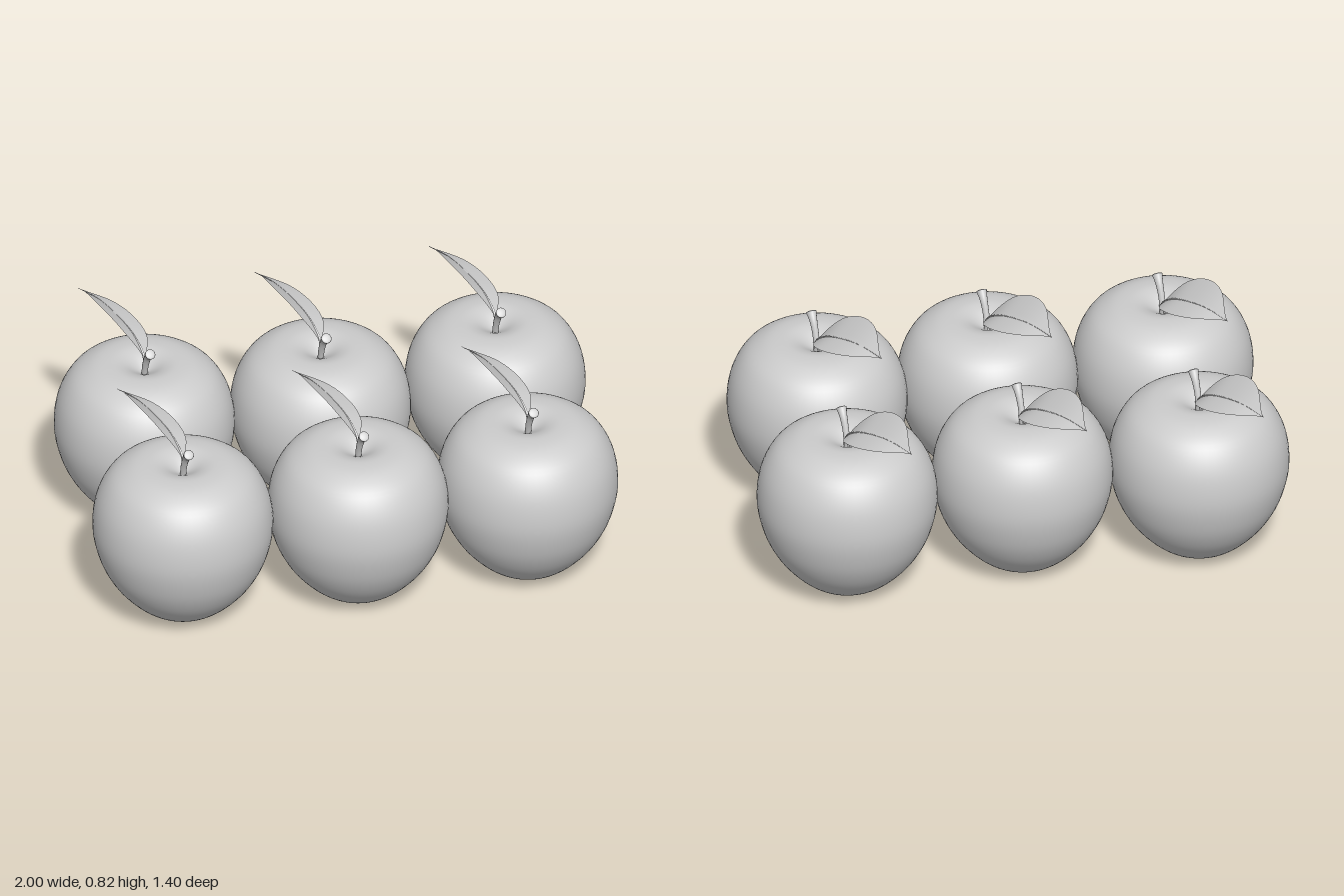
import * as THREE from 'three';

const V = (x, y, z) => new THREE.Vector3(x, y, z);
const material = new THREE.MeshStandardMaterial({ color: 0xcccccc });
const leafMaterial = new THREE.MeshStandardMaterial({ color: 0xcccccc, side: THREE.DoubleSide });

// Apple flesh: smooth turned profile with a shallow dimple at each end
function bodyGeometry() {
  const profile = new THREE.SplineCurve([
    [0, 0.028], [0.025, 0.018], [0.055, 0.004], [0.095, 0.002], [0.15, 0.028], [0.21, 0.08],
    [0.268, 0.153], [0.312, 0.245], [0.335, 0.36], [0.321, 0.48], [0.272, 0.574], [0.2, 0.624],
    [0.13, 0.637], [0.08, 0.629], [0.035, 0.605], [0, 0.58],
  ].map(([r, y]) => new THREE.Vector2(r, y)));
  const points = profile.getPoints(75);
  points[0].x = points[75].x = 0;
  return new THREE.LatheGeometry(points, 64);
}

// Tube whose radius follows radiusAt(t)
function taperedTube(curve, segments, sides, radiusAt) {
  const geometry = new THREE.TubeGeometry(curve, segments, 1, sides);
  const pos = geometry.attributes.position;
  for (let i = 0; i < pos.count; i++) {
    const t = Math.floor(i / (sides + 1)) / segments;
    const c = curve.getPointAt(t);
    const p = V().fromBufferAttribute(pos, i).sub(c).multiplyScalar(radiusAt(t)).add(c);
    pos.setXYZ(i, p.x, p.y, p.z);
  }
  geometry.computeVertexNormals();
  return geometry;
}

const stemCurve = new THREE.CatmullRomCurve3([
  V(0, 0.56, 0), V(0, 0.635, 0.02), V(0.005, 0.69, 0.045), V(0.008, 0.714, 0.068),
]);
const midrib = new THREE.CatmullRomCurve3([
  V(0.005, 0.57, 0), V(0.005, 0.64, -0.02), V(-0.02, 0.7, -0.09),
  V(-0.065, 0.738, -0.18), V(-0.115, 0.757, -0.27), V(-0.172, 0.752, -0.363),
]);
const leafWidth = new THREE.SplineCurve(
  [0, 0.06, 0.75, 1, 0.78, 0].map((w, i) => new THREE.Vector2(i / 5, w)));

// Leaf blade: a grid spread to both sides of the midrib, folded and tilted
function leafGeometry() {
  const cols = 10, rows = 30;
  const geometry = new THREE.PlaneGeometry(1, 1, cols, rows);
  const pos = geometry.attributes.position;
  const sideA = V(-0.073, 0.071, 0.03), sideB = V(0.072, -0.035, -0.02);
  for (let i = 0; i < pos.count; i++) {
    const s = pos.getX(i) * 2;
    const t = 0.2 + 0.8 * (pos.getY(i) + 0.5);
    const w = Math.max(0, leafWidth.getPoint(t).y) * Math.abs(s);
    const p = midrib.getPoint(t).addScaledVector(s < 0 ? sideA : sideB, w);
    pos.setXYZ(i, p.x, p.y, p.z);
  }
  geometry.computeVertexNormals();
  return geometry;
}

export function createModel() {
  const model = new THREE.Group();
  model.name = 'apples';

  const body = bodyGeometry();
  const stem = taperedTube(stemCurve, 20, 12, (t) => 0.012 + 0.008 * t ** 5);
  const stemTip = new THREE.SphereGeometry(0.0197, 16, 10);
  const petiole = taperedTube(midrib, 30, 8, (t) => 0.001 + 0.008 * (1 - t) ** 3);
  const leaf = leafGeometry();
  const tipTurn = new THREE.Quaternion().setFromUnitVectors(V(0, 1, 0), stemCurve.getTangentAt(1));

  // Two rows of three, slightly uneven
  const places = [
    [-0.664, -0.337], [-0.004, -0.305], [0.664, -0.337],
    [-0.664, 0.347], [-0.004, 0.362], [0.643, 0.34],
  ];
  for (const [x, z] of places) {
    const apple = new THREE.Group();
    apple.name = 'apple';
    apple.position.set(x, 0, z);
    const add = (name, geometry, mat = material) => {
      const mesh = new THREE.Mesh(geometry, mat);
      mesh.name = name;
      apple.add(mesh);
      return mesh;
    };
    add('body', body);
    add('stem', stem);
    const tip = add('stemTip', stemTip);
    tip.position.copy(stemCurve.getPointAt(1));
    tip.quaternion.copy(tipTurn);
    tip.scale.y = 0.25;
    add('leafStalk', petiole);
    add('leaf', leaf, leafMaterial);
    model.add(apple);
  }
  return model;
}
